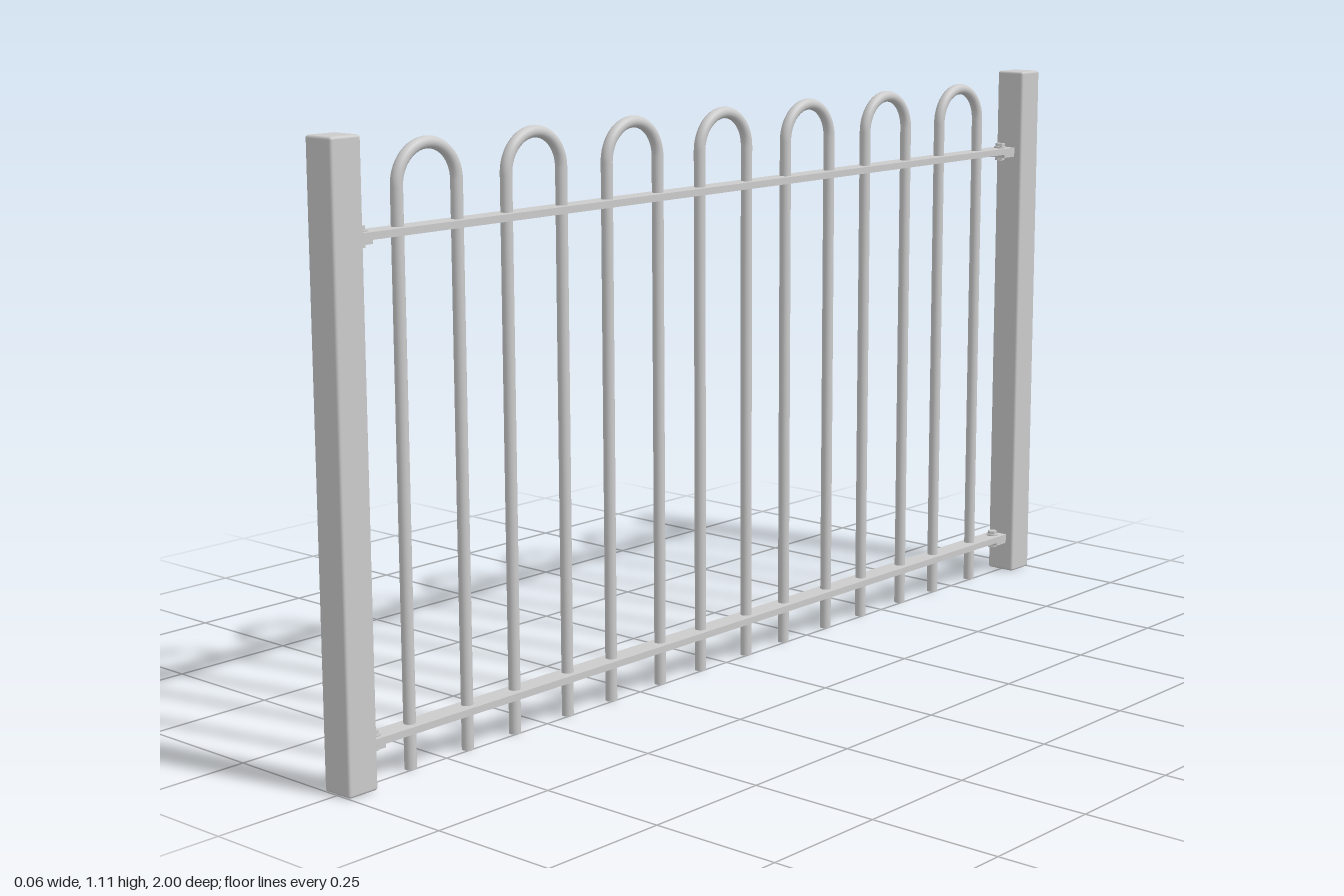
import * as THREE from 'three';
import { RoundedBoxGeometry } from 'three/addons/geometries/RoundedBoxGeometry.js';

const material = new THREE.MeshStandardMaterial({ color: 0xcccccc });

function add(parent, name, geometry, x, y, z) {
  const mesh = new THREE.Mesh(geometry, material);
  mesh.name = name;
  mesh.position.set(x, y, z);
  parent.add(mesh);
  return mesh;
}

export function createModel() {
  const fence = new THREE.Group();
  fence.name = 'hoopTopFence';

  const height = 1.11, postSize = 0.064, postZ = 1 - postSize / 2;
  const railX = -0.006, railYs = [0.076, 0.94], railEnd = 0.936;
  const barX = -0.008, barRadius = 0.011, hoopRadius = 0.068, hoopY = 1.014;

  // Square end posts with softened edges
  const postGeometry = new RoundedBoxGeometry(postSize, height, postSize, 2, 0.005);
  for (const side of [1, -1]) add(fence, 'post', postGeometry, 0, height / 2, side * postZ);

  // Flat rails, each bolted to a tab on both posts
  const railGeometry = new THREE.BoxGeometry(0.042, 0.013, 2 * railEnd);
  const tabGeometry = new THREE.BoxGeometry(0.04, 0.009, 0.036);
  const washerGeometry = new THREE.CylinderGeometry(0.013, 0.013, 0.003, 20);
  const headGeometry = new THREE.CylinderGeometry(0.01, 0.01, 0.008, 6).toNonIndexed();
  headGeometry.computeVertexNormals();
  const shankGeometry = new THREE.CylinderGeometry(0.005, 0.005, 0.036, 12);
  for (const y of railYs) {
    add(fence, 'rail', railGeometry, railX, y, 0);
    for (const side of [1, -1]) {
      const fixing = new THREE.Group();
      fixing.name = 'railFixing';
      fixing.position.set(railX, y, side * 0.912);
      add(fixing, 'tab', tabGeometry, 0, -0.009, side * 0.007);
      add(fixing, 'washer', washerGeometry, 0, 0.008, 0);
      add(fixing, 'boltHead', headGeometry, 0, 0.0125, 0);
      add(fixing, 'boltShank', shankGeometry, 0, -0.004, 0);
      add(fixing, 'nut', headGeometry, 0, -0.016, 0);
      fence.add(fixing);
    }
  }

  // Seven hoops: two round uprights joined by a half ring
  const barGeometry = new THREE.CylinderGeometry(barRadius, barRadius, hoopY, 20);
  const archGeometry = new THREE.TorusGeometry(hoopRadius, barRadius, 20, 32, Math.PI);
  archGeometry.rotateY(Math.PI / 2);
  for (let i = -3; i <= 3; i++) {
    const hoop = new THREE.Group();
    hoop.name = 'hoop';
    hoop.position.set(barX, 0, i * 0.253);
    for (const side of [1, -1]) add(hoop, 'upright', barGeometry, 0, hoopY / 2, side * hoopRadius);
    add(hoop, 'arch', archGeometry, 0, hoopY, 0);
    fence.add(hoop);
  }

  return fence;
}
